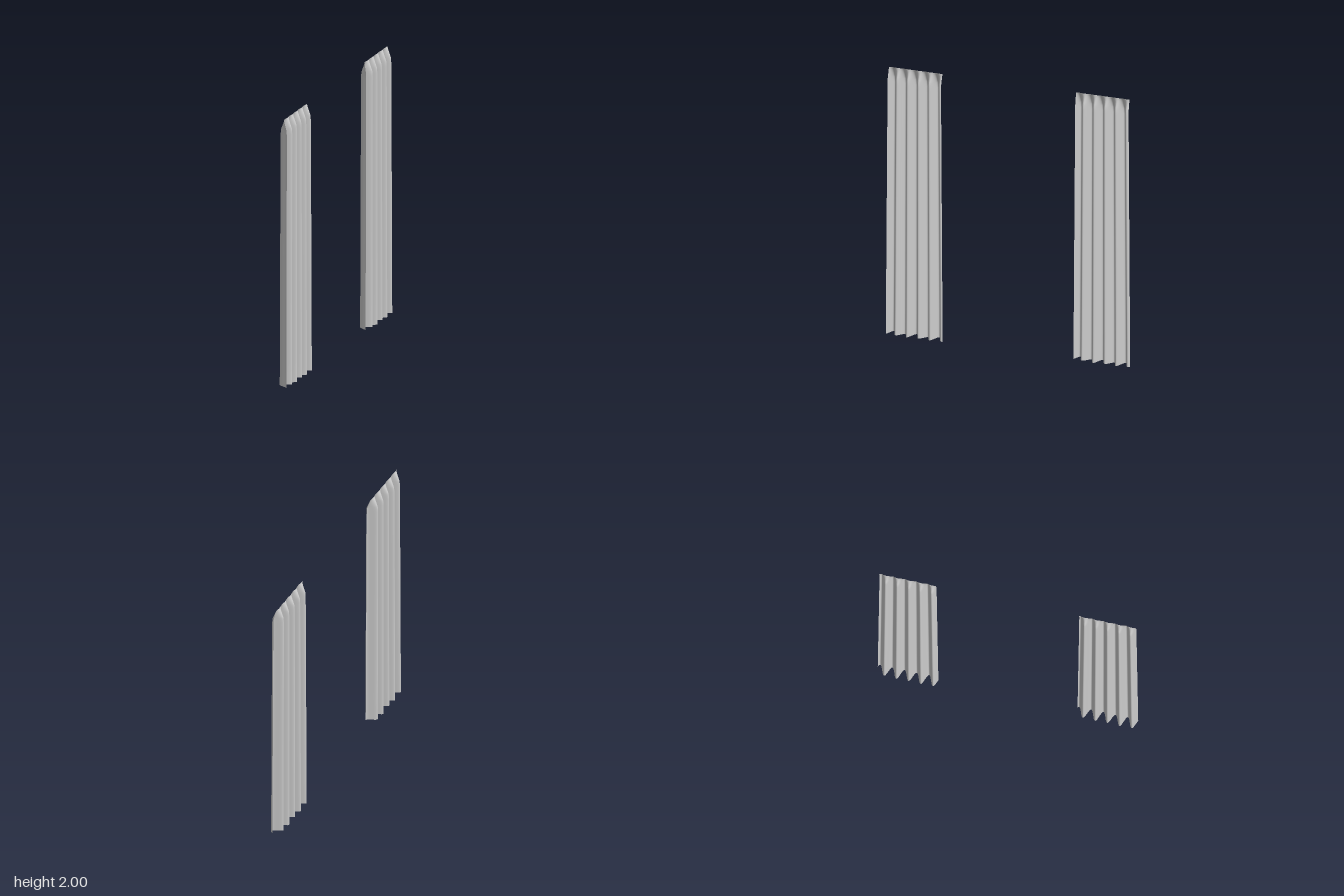
import * as THREE from 'three';

const fabric = new THREE.MeshStandardMaterial({ color: 0xcccccc, side: THREE.DoubleSide });
fabric.name = 'grey fabric';

// Fold depth by height: full along the drop, gathered to a line at the top
const DEPTH = [[0, 0.038], [1.0, 0.037], [1.88, 0.036], [1.92, 0.033], [1.95, 0.022], [1.98, 0.01], [2, 0.002]];
function foldDepth(y) {
  for (let i = 1; i < DEPTH.length; i++) {
    const [y0, d0] = DEPTH[i - 1], [y1, d1] = DEPTH[i];
    if (y <= y1) return d0 + (d1 - d0) * (y - y0) / (y1 - y0);
  }
  return 0;
}

// One pleated curtain panel hanging in the YZ plane
function curtain(name, centerZ, phase) {
  const rows = [0, 0.2, 0.5, 0.8, 1.1, 1.4, 1.65, 1.8, 1.88, 1.9, 1.92, 1.935, 1.95, 1.965, 1.98, 1.99, 2];
  const geo = new THREE.PlaneGeometry(2, 2, 100, rows.length - 1);
  const p = geo.attributes.position;
  const cols = 101;
  for (let i = 0; i < p.count; i++) {
    const u = p.getX(i);
    const y = rows[rows.length - 1 - Math.floor(i / cols)];
    const half = 0.222 - 0.007 * y;
    const wave = Math.sin(2 * Math.PI * (2.49 * u + phase));
    // Slightly scalloped hem
    const hem = y === 0 ? 0.006 * (1 + Math.cos(u * 8)) : 0;
    p.setXYZ(i, foldDepth(y) * wave, y + hem, centerZ - u * half);
  }
  geo.computeVertexNormals();
  const mesh = new THREE.Mesh(geo, fabric);
  mesh.name = name;
  return mesh;
}

export function createModel() {
  const group = new THREE.Group();
  group.name = 'curtains';
  // u runs towards -z, so the phases are offset by half a turn
  group.add(curtain('frontCurtain', 0.729, 1.364 + 0.5));
  group.add(curtain('backCurtain', -0.727, 0.42 + 0.5));
  return group;
}
